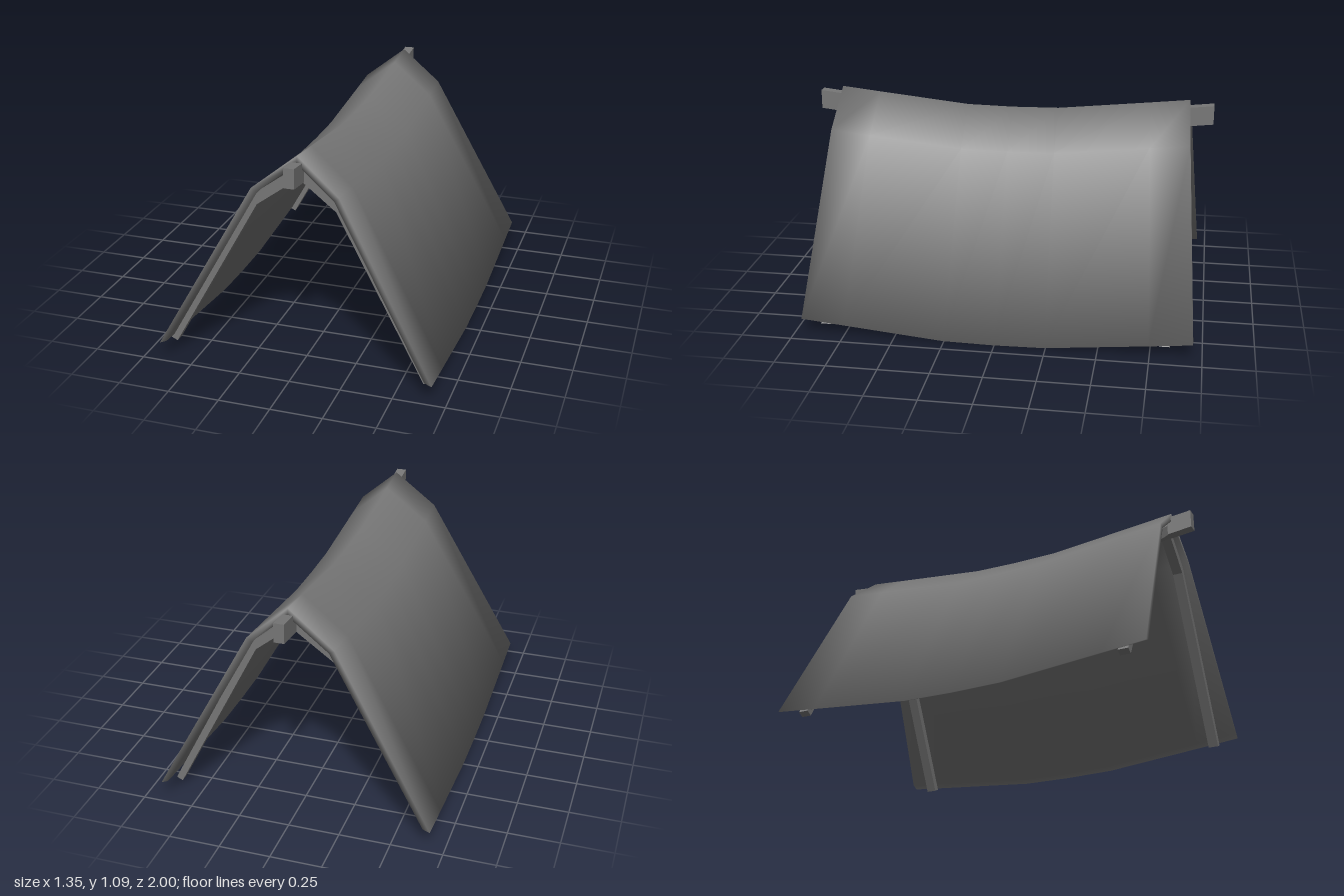
import * as THREE from 'three';

const material = new THREE.MeshStandardMaterial({ color: 0x777777 });

// Extrude a closed polygon, centred on its depth
function prism(points, depth) {
  const shape = new THREE.Shape(points.map(([x, y]) => new THREE.Vector2(x, y)));
  const geo = new THREE.ExtrudeGeometry(shape, { depth, bevelEnabled: false });
  return geo.translate(0, 0, -depth / 2);
}

function named(name, geo) {
  const mesh = new THREE.Mesh(geo, material);
  mesh.name = name;
  return mesh;
}

// Saddle-shaped roof: one closed cross-section swept along z, sagging in the middle
function roofGeometry() {
  const outer = [[-0.675, 0.078], [-0.2, 0.92], [0.02, 1.095], [0.22, 0.92], [0.675, 0.078]];
  const inner = [[0.64, 0.092], [0.195, 0.905], [0.02, 1.055], [-0.175, 0.905], [-0.64, 0.092]];
  const loop = [...outer, ...inner];
  const stations = [[-1, 0], [-0.78, 0.021], [-0.26, 0.069], [0, 0.073], [0.26, 0.069], [0.78, 0.021], [1, 0]];
  const n = loop.length, m = outer.length;
  const points = [], normals = [], index = [];
  for (const [t, sag] of stations) {
    for (const [x, y] of loop) {
      points.push(new THREE.Vector3(x, y - sag, 0.005 + t * (0.96 - 0.073 * (y - 0.08))));
      normals.push(new THREE.Vector3());
    }
  }
  // Each face counts by weight, not area, so the shading rolls over the thin rim
  const quad = (weight, a, b, c, d) => {
    index.push(a, b, c, a, c, d);
    const ac = points[c].clone().sub(points[a]);
    const bd = points[d].clone().sub(points[b]);
    const normal = ac.cross(bd).normalize();
    for (const v of [a, b, c, d]) normals[v].addScaledVector(normal, weight);
  };
  const rim = 0.8;
  for (let j = 0; j < stations.length - 1; j++) {
    for (let i = 0; i < n; i++) {
      const k = (i + 1) % n;
      const isEave = i === m - 1 || i === n - 1;
      quad(isEave ? rim : 1, j * n + i, (j + 1) * n + i, (j + 1) * n + k, j * n + k);
    }
  }
  // Gable edges
  const f = (stations.length - 1) * n;
  for (let k = 0; k < m - 1; k++) {
    const p = n - 1 - k, q = n - 2 - k;
    quad(rim, f + k, f + p, f + q, f + k + 1);
    quad(rim, k, k + 1, q, p);
  }
  const geo = new THREE.BufferGeometry().setFromPoints(points);
  const flat = normals.flatMap((v) => v.normalize().toArray());
  geo.setAttribute('normal', new THREE.Float32BufferAttribute(flat, 3));
  geo.setIndex(index);
  return geo;
}

export function createModel() {
  const group = new THREE.Group();
  group.add(named('roof', roofGeometry()));

  // Bent rafter frame under each gable
  const rafter = [
    [-0.655, 0.065], [-0.205, 0.87], [0.02, 1.035], [0.22, 0.87], [0.645, 0.045],
    [0.615, 0.03], [0.195, 0.84], [0.02, 0.98], [-0.185, 0.83], [-0.625, 0.05],
  ];
  for (const [name, z] of [['frontRafter', 0.85], ['backRafter', -0.82]]) {
    const mesh = named(name, prism(rafter, 0.05));
    mesh.position.z = z;
    group.add(mesh);
  }

  // Ridge beam, bowed to follow the sag and poking out at both ends
  const low = [[-1, 0.98], [-0.25, 0.895], [0.25, 0.895], [1, 0.98]];
  const high = low.map(([z, y]) => [z, y + 0.095]).reverse();
  const beam = named('ridgeBeam', prism([...low, ...high], 0.05).rotateY(-Math.PI / 2));
  beam.position.x = 0.02;
  group.add(beam);
  return group;
}
